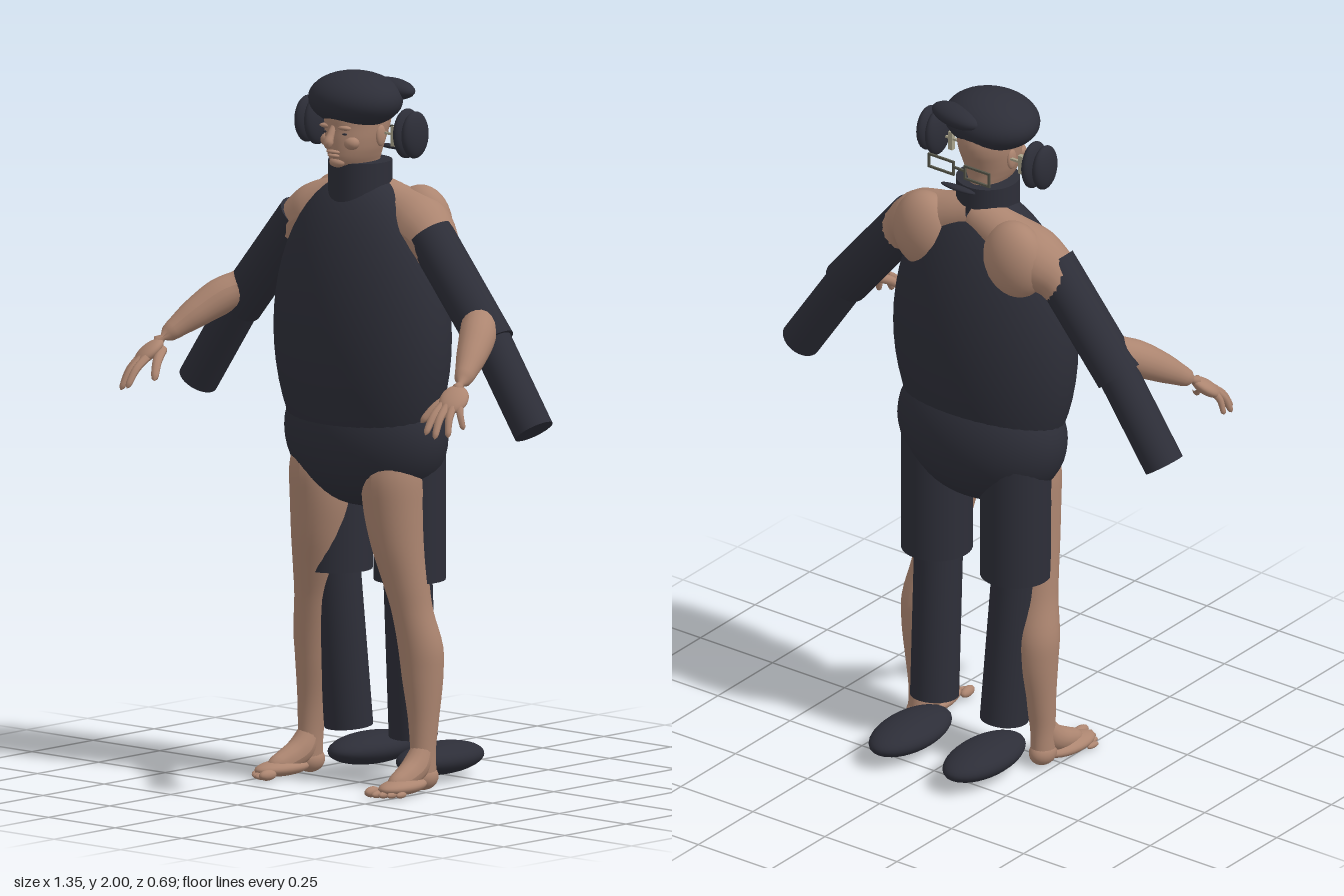
import * as THREE from 'three';

const suit = new THREE.MeshStandardMaterial({ color: 0x2d2e38 });
suit.name = 'dark suit';
const skin = new THREE.MeshStandardMaterial({ color: 0xac8570 });
skin.name = 'skin';
const frame = new THREE.MeshStandardMaterial({ color: 0x56564a });
frame.name = 'olive frame';
const beige = new THREE.MeshStandardMaterial({ color: 0xaaa48c });
beige.name = 'beige';

const V = (x, y, z) => new THREE.Vector3(x, y, z);

export function createModel() {
  const model = new THREE.Group();

  const add = (name, geometry, material) => {
    const mesh = new THREE.Mesh(geometry, material);
    mesh.name = name;
    model.add(mesh);
    return mesh;
  };

  const ellipsoid = (name, material, c, r, ws = 32, hs = 20) => {
    const mesh = add(name, new THREE.SphereGeometry(1, ws, hs), material);
    mesh.position.set(...c);
    mesh.scale.set(...r);
    return mesh;
  };

  const box = (name, material, c, size) => {
    const mesh = add(name, new THREE.BoxGeometry(...size), material);
    mesh.position.set(...c);
    return mesh;
  };

  // Straight cylinder between two points
  const rod = (name, material, a, b, r, sides = 32) => {
    const p = V(...a), q = V(...b);
    const mesh = add(name, new THREE.CylinderGeometry(r, r, p.distanceTo(q), sides), material);
    mesh.position.copy(p).add(q).multiplyScalar(0.5);
    mesh.quaternion.setFromUnitVectors(V(0, 1, 0), p.sub(q).normalize());
    return mesh;
  };

  // Round limb along a path; each point is [x, y, z, radius], with a rounded tip
  const limb = (name, points, s = 1, steps = 28, sides = 16, tip = 0.12) => {
    const path = new THREE.CatmullRomCurve3(points.map(p => V(p[0] * s, p[1], p[2])));
    const radii = new THREE.CatmullRomCurve3(points.map(p => V(p[3], 0, 0)));
    const g = new THREE.TubeGeometry(path, steps, 1, sides);
    const pos = g.attributes.position, v = V(0, 0, 0);
    for (let i = 0; i <= steps; i++) {
      const u = i / steps, c = path.getPointAt(u);
      const k = Math.max(0, (u - 1 + tip) / tip);
      const r = radii.getPoint(path.getUtoTmapping(u)).x * Math.sqrt(Math.max(0, 1 - k * k));
      for (let j = 0; j <= sides; j++) {
        const n = i * (sides + 1) + j;
        v.fromBufferAttribute(pos, n).sub(c).multiplyScalar(r).add(c);
        pos.setXYZ(n, v.x, v.y, v.z);
      }
    }
    g.computeVertexNormals();
    return add(name, g, skin);
  };

  // Stacked level ellipses from top to bottom; each row is [x, y, z, rx, rz]
  const loft = (name, rows, s = 1, steps = 40, sides = 28) => {
    const mid = new THREE.CatmullRomCurve3(rows.map(r => V(r[0] * s, r[1], r[2])));
    const rad = new THREE.CatmullRomCurve3(rows.map(r => V(r[3], 0, r[4])));
    const g = new THREE.CylinderGeometry(1, 1, 1, sides, steps, true);
    const pos = g.attributes.position;
    for (let n = 0; n < pos.count; n++) {
      const t = 0.5 - pos.getY(n), c = mid.getPoint(t), r = rad.getPoint(t);
      pos.setXYZ(n, c.x + pos.getX(n) * r.x, c.y, c.z + pos.getZ(n) * r.z);
    }
    g.computeVertexNormals();
    return add(name, g, skin);
  };

  // Suit body
  ellipsoid('torso', suit, [0, 1.265, -0.013], [0.29, 0.445, 0.184], 40, 28);
  ellipsoid('pelvis', suit, [0, 0.985, -0.028], [0.266, 0.21, 0.172], 40, 24);
  rod('collar', suit, [0, 1.75, -0.003], [0, 1.64, -0.003], 0.089);

  // Head and face
  loft('head', [
    [0, 1.975, 0.01, 0.01, 0.01], [0, 1.96, 0.01, 0.055, 0.07],
    [0, 1.92, 0.007, 0.08, 0.1], [0, 1.88, 0.007, 0.083, 0.107],
    [0, 1.85, 0.008, 0.081, 0.103], [0, 1.82, 0.014, 0.077, 0.097],
    [0, 1.79, 0.018, 0.07, 0.091], [0, 1.765, 0.018, 0.06, 0.087],
    [0, 1.745, 0.012, 0.05, 0.08], [0, 1.735, -0.01, 0.052, 0.062],
    [0, 1.7, -0.025, 0.056, 0.056], [0, 1.6, -0.03, 0.07, 0.06],
  ], 1, 48, 32);
  limb('nose', [[0, 1.855, 0.104, 0.009], [0, 1.83, 0.119, 0.011], [0, 1.808, 0.128, 0.015], [0, 1.8, 0.118, 0.012]], 1, 14, 12, 0.3);
  ellipsoid('upperLip', skin, [0, 1.784, 0.108], [0.024, 0.006, 0.011], 16, 8);
  ellipsoid('lowerLip', skin, [0, 1.773, 0.106], [0.021, 0.006, 0.011], 16, 8);
  ellipsoid('chin', skin, [0, 1.753, 0.09], [0.026, 0.015, 0.02], 16, 10);

  // Cap with its visor turned to the back
  ellipsoid('cap', suit, [0, 1.922, 0.016], [0.141, 0.078, 0.12]);
  const visor = ellipsoid('capVisor', suit, [0.055, 1.946, -0.07], [0.092, 0.03, 0.043], 24, 14);
  visor.rotation.y = -0.15;

  // Spectacles behind the head
  ellipsoid('backBar', suit, [0, 1.767, -0.14], [0.06, 0.007, 0.013], 16, 10);
  box('spectacleBridge', frame, [0, 1.825, -0.135], [0.04, 0.006, 0.006]);

  for (const s of [1, -1]) {
    const side = s > 0 ? 'left' : 'right';

    // Spectacle rim, temple and headphones
    for (const y of [1.802, 1.84]) box(side + 'RimBar', frame, [s * 0.062, y, -0.135], [0.086, 0.006, 0.006]);
    for (const x of [0.02, 0.104]) box(side + 'RimPost', frame, [s * x, 1.821, -0.135], [0.006, 0.044, 0.006]);
    box(side + 'HeadphonePost', beige, [s * 0.121, 1.826, -0.01], [0.014, 0.055, 0.014]);
    box(side + 'HeadphoneArm', beige, [s * 0.105, 1.832, -0.01], [0.07, 0.006, 0.008]);
    ellipsoid(side + 'EarCup', suit, [s * 0.201, 1.84, -0.008], [0.023, 0.066, 0.05], 24, 16);
    ellipsoid(side + 'EarPad', suit, [s * 0.167, 1.84, -0.012], [0.022, 0.07, 0.052], 24, 16);

    // Ear, brow and eye
    ellipsoid(side + 'Ear', skin, [s * 0.08, 1.825, 0], [0.009, 0.03, 0.018], 14, 12);
    ellipsoid(side + 'Brow', skin, [s * 0.033, 1.853, 0.099], [0.025, 0.007, 0.012], 14, 8);
    ellipsoid(side + 'Eye', suit, [s * 0.033, 1.836, 0.1], [0.012, 0.003, 0.004], 12, 8);
    ellipsoid(side + 'Cheek', skin, [s * 0.042, 1.81, 0.08], [0.025, 0.02, 0.022], 14, 10);

    // Suit sleeves
    rod(side + 'UpperSleeve', suit, [s * 0.24, 1.563, -0.026], [s * 0.474, 1.283, -0.026], 0.066);
    rod(side + 'LowerSleeve', suit, [s * 0.455, 1.31, -0.027], [s * 0.63, 1.055, -0.027], 0.057);

    // Suit legs and shoes
    rod(side + 'ThighTube', suit, [s * 0.137, 0.97, -0.056], [s * 0.137, 0.58, -0.056], 0.1);
    rod(side + 'ShinTube', suit, [s * 0.137, 0.66, -0.045], [s * 0.121, 0.135, -0.088], 0.068);
    ellipsoid(side + 'Shoe', suit, [s * 0.128, 0.06, -0.19], [0.082, 0.045, 0.158]);

    // Bare shoulder, shoulder blade and arm
    ellipsoid(side + 'ShoulderBlade', skin, [s * 0.155, 1.57, -0.085], [0.098, 0.115, 0.073], 24, 18);
    limb(side + 'Arm', [
      [0.0, 1.65, -0.045, 0.06], [0.09, 1.62, -0.05, 0.068], [0.19, 1.572, -0.046, 0.088],
      [0.265, 1.525, -0.03, 0.068], [0.35, 1.43, -0.026, 0.054], [0.435, 1.345, -0.01, 0.05],
      [0.48, 1.315, 0.04, 0.051], [0.52, 1.268, 0.11, 0.042], [0.553, 1.218, 0.18, 0.026],
      [0.568, 1.19, 0.225, 0.026],
    ], s, 48, 20, 0.03);

    // Hand
    const palm = ellipsoid(side + 'Palm', skin, [s * 0.573, 1.172, 0.238], [0.04, 0.02, 0.052], 20, 14);
    palm.rotation.set(0.65, s * 0.25, s * -0.35);
    const fingers = [
      ['Thumb', 0.548, 1.178, 0.21, 0.5, 1.105, 0.295, 0.013],
      ['IndexFinger', 0.557, 1.162, 0.262, 0.56, 1.083, 0.342, 0.011],
      ['MiddleFinger', 0.573, 1.157, 0.268, 0.589, 1.074, 0.336, 0.011],
      ['RingFinger', 0.588, 1.156, 0.26, 0.612, 1.077, 0.306, 0.0105],
      ['LittleFinger', 0.598, 1.16, 0.243, 0.624, 1.094, 0.255, 0.0095],
    ];
    for (const [n, ax, ay, az, bx, by, bz, r] of fingers) {
      const mid = [(ax + bx) / 2, (ay + by) / 2 + 0.008, (az + bz) / 2 + 0.005];
      limb(side + n, [[ax, ay, az, r * 1.15], [...mid, r], [bx, by, bz, r * 0.8]], s, 14, 10, 0.18);
    }

    // Bare leg
    loft(side + 'Leg', [
      [0.135, 0.95, -0.005, 0.08, 0.09], [0.135, 0.87, 0.0, 0.092, 0.1],
      [0.138, 0.78, 0.002, 0.09, 0.09], [0.15, 0.68, 0.0, 0.08, 0.078],
      [0.166, 0.59, -0.006, 0.068, 0.064], [0.182, 0.5, -0.018, 0.059, 0.058],
      [0.196, 0.4, -0.036, 0.063, 0.063], [0.2, 0.31, -0.04, 0.057, 0.058],
      [0.207, 0.2, -0.036, 0.043, 0.044], [0.211, 0.11, -0.03, 0.034, 0.038],
      [0.213, 0.04, -0.03, 0.032, 0.04],
    ], s);

    // Bare foot
    ellipsoid(side + 'Heel', skin, [s * 0.213, 0.036, -0.032], [0.036, 0.036, 0.045], 20, 14);
    limb(side + 'Instep', [[0.212, 0.12, -0.03, 0.03], [0.215, 0.07, 0.005, 0.038], [0.221, 0.045, 0.055, 0.034], [0.228, 0.026, 0.125, 0.022]], s, 20, 16, 0.2);
    const sole = ellipsoid(side + 'Sole', skin, [s * 0.226, 0.024, 0.07], [0.046, 0.023, 0.095], 24, 14);
    sole.rotation.y = s * 0.1;
    for (let i = 0; i < 5; i++) {
      const r = i ? 0.011 - i * 0.0006 : 0.015;
      const toe = ellipsoid(side + 'Toe', skin, [s * (0.196 + i * 0.0175 + (i ? 0.003 : 0)), r + 0.002, 0.162 - i * i * 0.0025], [r, r, 0.03 - i * 0.002], 12, 10);
      toe.rotation.y = s * 0.1;
    }
  }

  return model;
}
